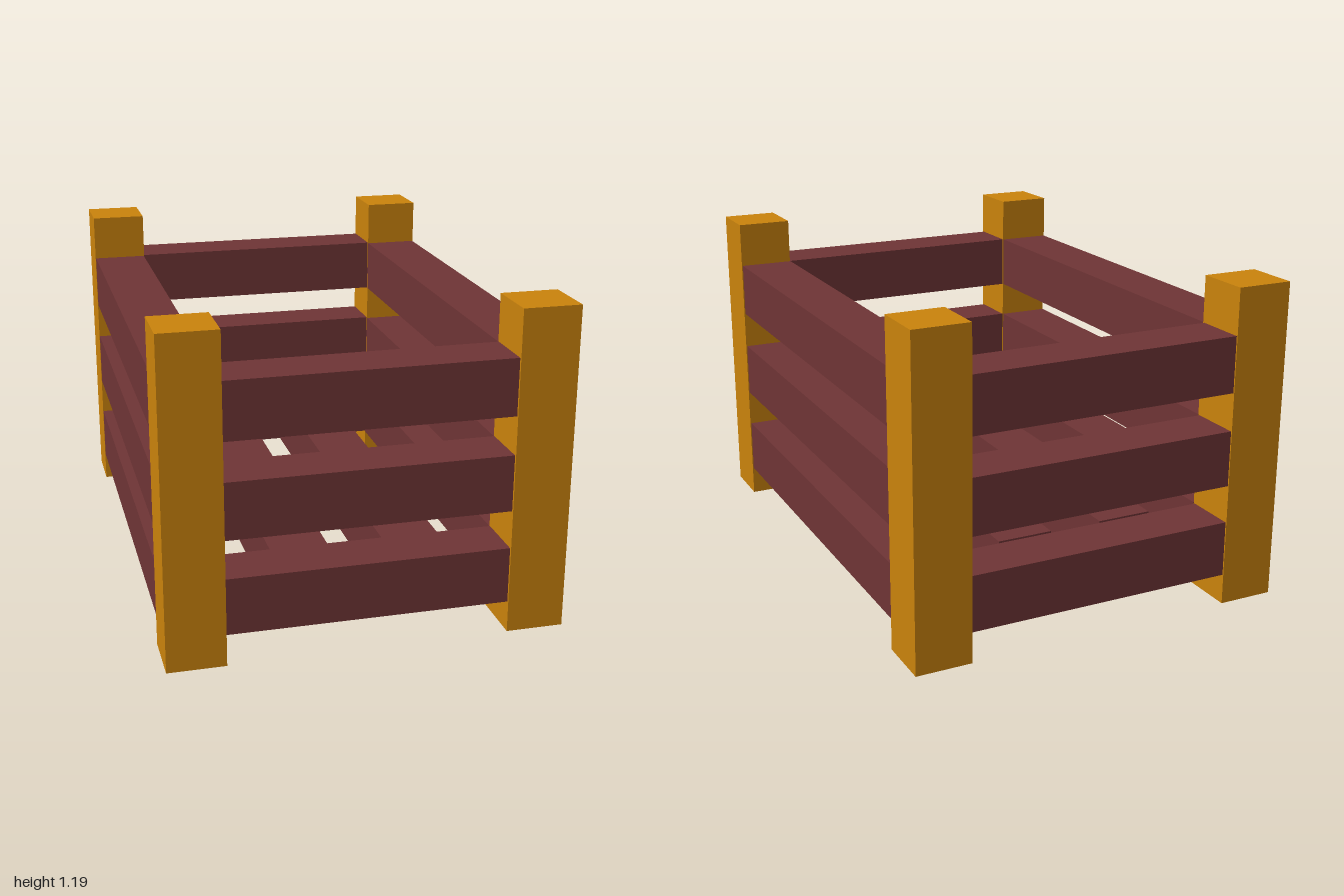
import * as THREE from 'three';

export function createModel() {
  const group = new THREE.Group();
  const postWood = new THREE.MeshStandardMaterial({ color: 0xc9820c });
  postWood.name = 'amber wood';
  const railWood = new THREE.MeshStandardMaterial({ color: 0x6e3435 });
  railWood.name = 'dark red wood';

  // Box given by its lower and upper bounds on each axis
  function beam(name, material, [x0, x1], [y0, y1], [z0, z1]) {
    const mesh = new THREE.Mesh(new THREE.BoxGeometry(x1 - x0, y1 - y0, z1 - z0), material);
    mesh.position.set((x0 + x1) / 2, (y0 + y1) / 2, (z0 + z1) / 2);
    mesh.name = name;
    group.add(mesh);
  }

  // Corner posts
  for (const [side, x] of [['Left', [0.508, 0.718]], ['Right', [-0.718, -0.508]]]) {
    beam('front' + side + 'Post', postWood, x, [0, 1.193], [0.793, 1]);
    beam('back' + side + 'Post', postWood, x, [0, 1.193], [-1, -0.793]);
  }

  // Three tiers of rails around the crate
  const tiers = [0.113, 0.462, 0.812];
  const length = [-0.787, 0.797];
  tiers.forEach((y, i) => {
    const height = [y, y + 0.208];
    beam('frontRail' + i, railWood, [-0.51, 0.51], height, [0.797, 0.991]);
    beam('backRail' + i, railWood, [-0.51, 0.51], height, [-0.995, -0.8]);
    beam('leftRail' + i, railWood, [0.506, 0.714], height, length);
    beam('rightRail' + i, railWood, [-0.717, -0.511], height, length);
  });

  // Floor slats, level with the lowest rails
  [-0.208, 0.2].forEach((x, i) => {
    beam('floorSlat' + i, railWood, [x - 0.104, x + 0.104], [0.113, 0.321], length);
  });

  return group;
}
